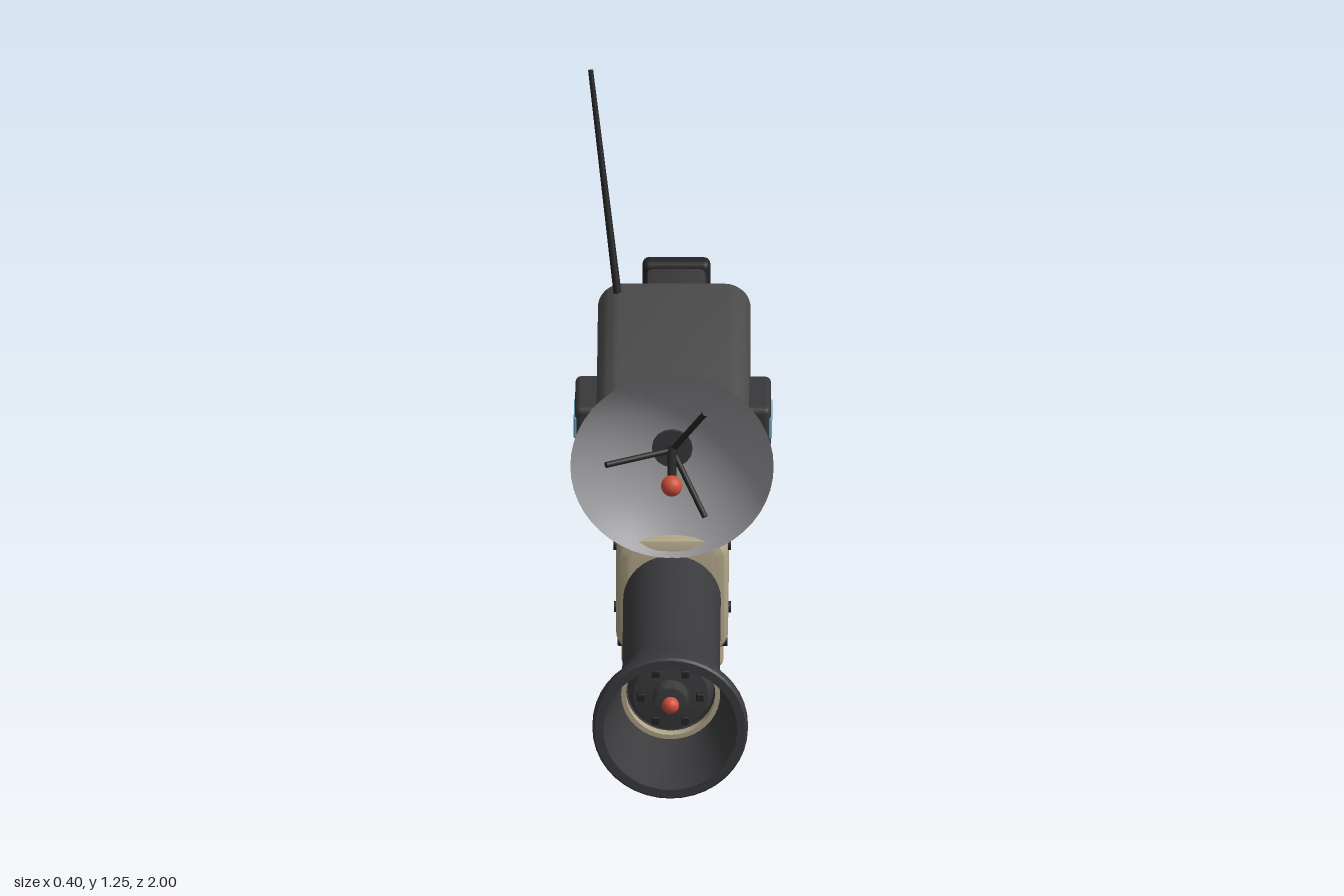
import * as THREE from 'three';
import { toCreasedNormals } from 'three/addons/utils/BufferGeometryUtils.js';
import { RoundedBoxGeometry } from 'three/addons/geometries/RoundedBoxGeometry.js';

const mat = (color, side = THREE.FrontSide) => new THREE.MeshStandardMaterial({ color, side });
const M = {
  tan: mat(0xb0a588), grey: mat(0x4c4c4d), dark: mat(0x39393b), black: mat(0x242425),
  barrel: mat(0x3b3b3e, THREE.DoubleSide), dish: mat(0x9b9b9f, THREE.DoubleSide),
  red: mat(0xd0503a), blue: mat(0x6aa9c2),
};

// Rounded rectangle outline centred on (0, cy)
function roundRect(w, h, r, cx = 0, cy = 0, Type = THREE.Shape) {
  const s = new Type(), x = w / 2, y = h / 2, q = Math.PI / 2;
  s.absarc(cx + x - r, cy + y - r, r, 0, q);
  s.absarc(cx - x + r, cy + y - r, r, q, 2 * q);
  s.absarc(cx - x + r, cy - y + r, r, 2 * q, 3 * q);
  s.absarc(cx + x - r, cy - y + r, r, 3 * q, 4 * q);
  s.closePath();
  return s;
}

// Extrusion that fills exactly the given depth, bevel included, centred on 0
function extrude(shape, depth, bevel) {
  const g = new THREE.ExtrudeGeometry(shape, {
    depth: depth - 2 * bevel, bevelEnabled: bevel > 0, bevelThickness: bevel,
    bevelSize: bevel, bevelOffset: -bevel, bevelSegments: 2, curveSegments: 5,
  });
  g.translate(0, 0, -(depth - 2 * bevel) / 2);
  return toCreasedNormals(g, 0.6);
}

export function createModel() {
  const model = new THREE.Group();
  const add = (name, geometry, material, x = 0, y = 0, z = 0) => {
    const m = new THREE.Mesh(geometry, material);
    m.name = name;
    m.position.set(x, y, z);
    model.add(m);
    return m;
  };
  const box = (name, material, w, h, d, x, y, z, r = 0.008) =>
    add(name, new RoundedBoxGeometry(w, h, d, 2, r), material, x, y, z);
  // Side outline given as [z, y] points, extruded across x
  const profile = (name, pts, width, bevel, material) => add(name,
    extrude(new THREE.Shape(pts.map(p => new THREE.Vector2(...p))), width, bevel).rotateY(-Math.PI / 2), material);
  // Turned part along z, given as [radius, z] points
  const turned = (name, pts, material, y) => add(name,
    toCreasedNormals(new THREE.LatheGeometry(pts.map(p => new THREE.Vector2(...p)), 40).rotateX(Math.PI / 2), 0.5), material, 0, y);
  // Round bar between two points
  const rod = (name, a, b, r, material, r2 = r) => {
    const p = new THREE.Vector3(...a), q = new THREE.Vector3(...b), d = q.clone().sub(p);
    const m = add(name, new THREE.CylinderGeometry(r2, r, d.length(), 16), material);
    m.position.copy(p).add(q).multiplyScalar(0.5);
    m.quaternion.setFromUnitVectors(new THREE.Vector3(0, 1, 0), d.normalize());
    return m;
  };
  const ball = (name, r, material, x, y, z) => add(name, new THREE.SphereGeometry(r, 20, 14), material, x, y, z);

  // Receiver
  add('receiver', extrude(roundRect(0.22, 0.255, 0.045), 0.785, 0.022), M.tan, 0, 0.4725, 0.0125);
  for (const s of [-1, 1]) {
    for (const [z, y] of [[0.32, 0.55], [0.3, 0.405], [-0.285, 0.41]])
      rod('screw', [s * 0.1, y, z], [s * 0.115, y, z], 0.011, M.black);
  }
  rod('takedownPin', [-0.108, 0.335, 0.3], [0.108, 0.335, 0.3], 0.014, M.black);
  box('releaseButton', M.black, 0.02, 0.018, 0.056, 0.108, 0.385, -0.1, 0.005);

  // Vent slots on the left side
  for (let i = 0; i < 4; i++) {
    const slot = roundRect(0.026, 0.095, 0.0129);
    slot.holes.push(roundRect(0.012, 0.08, 0.0059, 0, 0, THREE.Path));
    add('ventSlot', extrude(slot, 0.008, 0).rotateY(Math.PI / 2), M.black, 0.109, 0.512, -0.143 - i * 0.052);
  }

  // Ejection port on the right side
  const frame = roundRect(0.26, 0.1, 0.02);
  frame.holes.push(roundRect(0.23, 0.07, 0.012, 0, 0, THREE.Path));
  add('ejectionPortFrame', extrude(frame, 0.014, 0).rotateY(Math.PI / 2), M.tan, -0.111, 0.48, -0.02);
  box('ejectionPort', M.black, 0.01, 0.07, 0.23, -0.107, 0.48, -0.02, 0.003);
  box('bolt', M.grey, 0.012, 0.045, 0.11, -0.109, 0.48, 0.03, 0.004);

  // Charging handle and selector lever
  rod('chargingRod', [0.118, 0.535, 0.17], [0.118, 0.535, -0.165], 0.01, M.black);
  rod('chargingKnob', [0.105, 0.535, 0.165], [0.153, 0.535, 0.165], 0.014, M.black);
  const lever = box('selectorLever', M.black, 0.018, 0.15, 0.024, 0.115, 0.545, -0.32, 0.006);
  lever.rotation.x = 0.42;

  // Launch tube, hollow with flared muzzle
  turned('launchTube', [[0.086, 0.4], [0.096, 0.4], [0.096, 0.79], [0.148, 0.972], [0.153, 0.975], [0.153, 0.995],
    [0.149, 1], [0.132, 1], [0.128, 0.97], [0.088, 0.8], [0.086, 0.4]], M.barrel, 0.47);
  turned('muzzleRing', [[0.088, 0.82], [0.103, 0.82], [0.103, 0.84], [0.088, 0.84], [0.088, 0.82]],
    mat(0xb0a588, THREE.DoubleSide), 0.47);
  turned('warhead', [[0, 0.7], [0.084, 0.7], [0.084, 0.82], [0.074, 0.845], [0.036, 0.85], [0.032, 0.88], [0, 0.885]], M.barrel, 0.47);
  ball('warheadTip', 0.017, M.red, 0, 0.47, 0.89);
  for (let i = 0; i < 6; i++) {
    const a = i * Math.PI / 3;
    box('warheadStud', M.black, 0.016, 0.016, 0.014, Math.cos(a) * 0.058, 0.47 + Math.sin(a) * 0.058, 0.85, 0.003);
  }

  // Rail and folded foregrip under the tube
  box('rail', M.dark, 0.11, 0.07, 0.385, 0, 0.35, 0.597, 0.012);
  box('railBase', M.black, 0.09, 0.02, 0.385, 0, 0.318, 0.597, 0.006);
  profile('foregrip', [[0.7, 0.32], [0.75, 0.265], [0.735, 0.25], [0.645, 0.217], [0.535, 0.32]], 0.08, 0.01, M.black);

  // Magazine
  box('magazineWell', M.tan, 0.2, 0.1, 0.23, 0, 0.315, 0.175, 0.014);
  profile('magazine', [[0.272, 0.29], [0.065, 0.29], [0.052, 0.02], [0.246, 0.02]], 0.162, 0.01, M.grey);
  box('magazineBase', M.black, 0.174, 0.036, 0.215, 0, 0.018, 0.157, 0.01);
  for (const y of [0.09, 0.15, 0.21])
    box('magazineRib', M.black, 0.182, 0.014, 0.15, 0, y, 0.178, 0.005);

  // Pistol grip, leaning back
  const grip = new THREE.CylinderGeometry(0.065, 0.058, 0.33, 28, 1);
  grip.scale(0.8, 1, 1);
  const gp = grip.attributes.position;
  for (let i = 0; i < gp.count; i++) gp.setZ(i, gp.getZ(i) + gp.getY(i) * 0.27);
  grip.computeVertexNormals();
  add('pistolGrip', grip, M.dark, 0, 0.195, -0.167);
  box('triggerGuard', M.black, 0.03, 0.01, 0.18, 0, 0.205, -0.01, 0.004);
  box('trigger', M.black, 0.018, 0.065, 0.014, 0, 0.285, 0.01, 0.004);

  // Shoulder stock
  rod('stockTube', [0, 0.46, -0.36], [0, 0.46, -0.7], 0.046, M.dark);
  profile('stock', [[-0.65, 0.5], [-0.81, 0.548], [-0.965, 0.542], [-0.965, 0.24], [-0.89, 0.245], [-0.65, 0.42]], 0.118, 0.012, M.dark);
  box('buttPad', M.black, 0.134, 0.325, 0.04, 0, 0.392, -0.98, 0.014);

  // Scanner housing with rear display
  add('scannerHousing', extrude(roundRect(0.3, 0.21, 0.05), 0.62, 0.02), M.grey, 0, 0.72, -0.005);
  box('scannerMount', M.black, 0.14, 0.04, 0.5, 0, 0.605, 0, 0.008);
  box('rearBezel', M.black, 0.25, 0.165, 0.04, 0, 0.72, -0.316, 0.012);
  box('rearDisplay', M.blue, 0.215, 0.13, 0.01, 0, 0.72, -0.335, 0.003);
  for (const s of [-1, 1]) {
    box('sidePod', M.dark, 0.055, 0.095, 0.158, s * 0.165, 0.72, 0.077, 0.012);
    box('sidePodDisplay', M.blue, 0.008, 0.045, 0.092, s * 0.191, 0.722, 0.106, 0.003);
  }
  rod('antenna', [-0.11, 0.81, -0.257], [-0.165, 1.25, -0.38], 0.008, M.black, 0.005);

  // Dish facing forward: spherical cap with hub, struts and feed
  const dishY = 0.765, R = 0.267, cap = [];
  for (let i = 0; i <= 14; i++) {
    const r = 0.2 * i / 14;
    cap.push(new THREE.Vector2(r, 0.325 + R - Math.sqrt(R * R - r * r)));
  }
  add('dish', new THREE.LatheGeometry(cap, 48).rotateX(Math.PI / 2), M.dish, 0, dishY);
  rod('dishNeck', [0, dishY, 0.29], [0, dishY, 0.335], 0.04, M.dark);
  rod('feedRod', [0, dishY, 0.33], [0, dishY, 0.5], 0.009, M.black);
  ball('feedTip', 0.021, M.red, 0, dishY, 0.505);
  for (let i = 0; i < 3; i++) {
    const a = Math.PI + i * Math.PI * 2 / 3;
    rod('dishStrut', [0, dishY, 0.34], [Math.cos(a) * 0.13, dishY + Math.sin(a) * 0.13, 0.41], 0.006, M.black);
  }
  return model;
}
